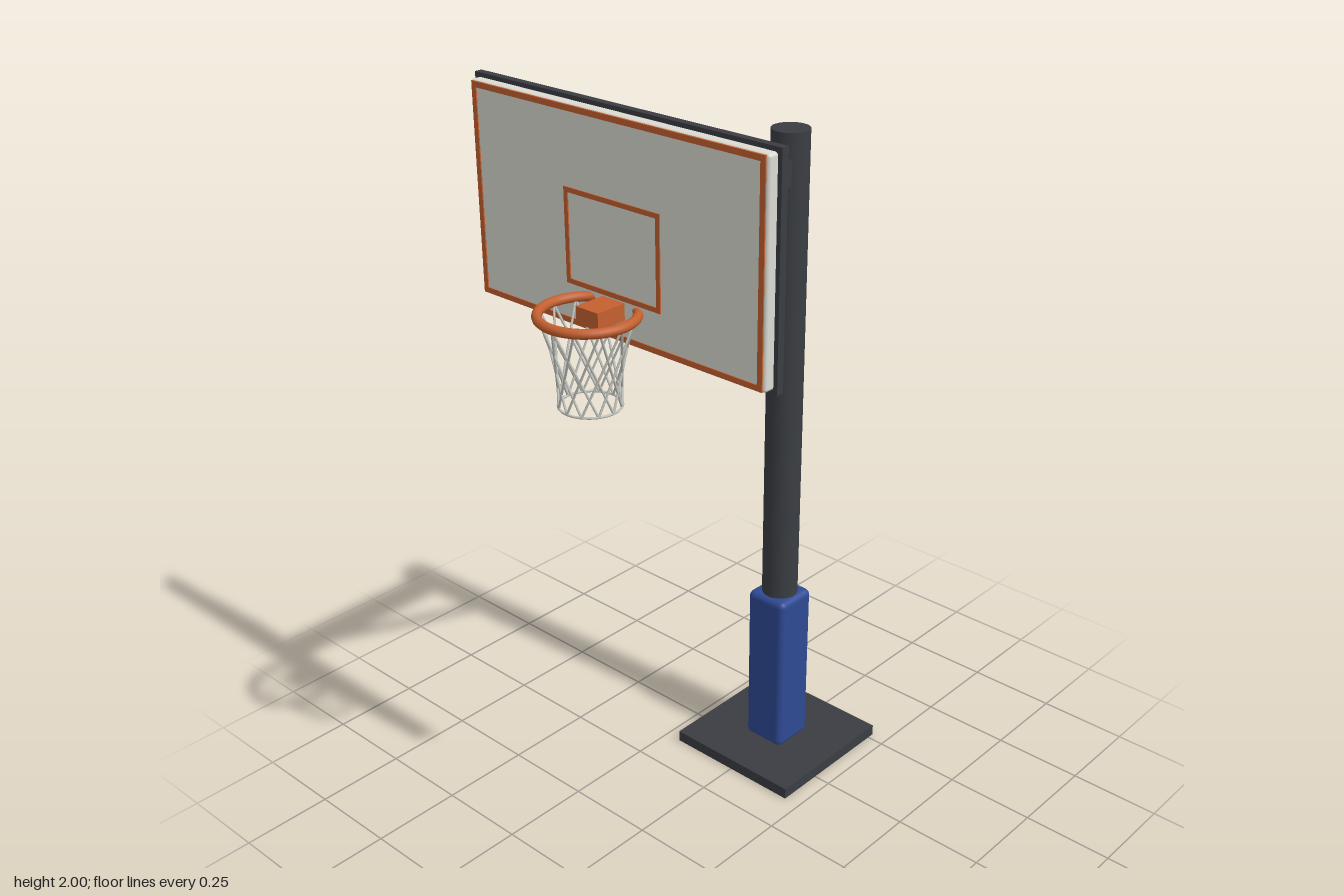
import * as THREE from 'three';
import { RoundedBoxGeometry } from 'three/addons/geometries/RoundedBoxGeometry.js';

const material = (color) => new THREE.MeshStandardMaterial({ color });
const steel = material(0x3a3d42);
const blue = material(0x2f4a94);
const orange = material(0xc4602f);
const white = material(0xdcdcd4);
const cord = material(0xc4c6c0);

export function createModel() {
  const model = new THREE.Group();
  model.name = 'basketballHoop';

  function add(name, geometry, mat, x, y, z, parent = model) {
    const mesh = new THREE.Mesh(geometry, mat);
    mesh.name = name;
    mesh.position.set(x, y, z);
    parent.add(mesh);
    return mesh;
  }

  // Straight round bar between two points
  function rod(name, a, b, radius, sides, mat, parent = model) {
    const dir = b.clone().sub(a);
    const mid = a.clone().add(b).multiplyScalar(0.5);
    const mesh = add(name, new THREE.CylinderGeometry(radius, radius, dir.length(), sides), mat, mid.x, mid.y, mid.z, parent);
    mesh.quaternion.setFromUnitVectors(new THREE.Vector3(0, 1, 0), dir.normalize());
    return mesh;
  }

  // Flat rectangular outline with a hole
  function outline(name, halfWidth, bottom, top, line, z, depth) {
    const rect = (path, w, b, t) => path.moveTo(-w, b).lineTo(w, b).lineTo(w, t).lineTo(-w, t).closePath();
    const shape = new THREE.Shape();
    rect(shape, halfWidth, bottom, top);
    const hole = new THREE.Path();
    rect(hole, halfWidth - line, bottom + line, top - line);
    shape.holes.push(hole);
    add(name, new THREE.ExtrudeGeometry(shape, { depth, bevelEnabled: false }), orange, 0, 0, z);
  }

  // Base, post and safety pad
  const postZ = -0.318;
  add('basePlate', new THREE.BoxGeometry(0.404, 0.032, 0.404), steel, 0, 0.016, postZ);
  add('post', new THREE.CylinderGeometry(0.05, 0.05, 1.8, 32), steel, 0, 0.93, postZ);
  add('pad', new RoundedBoxGeometry(0.128, 0.485, 0.128, 4, 0.018), blue, 0, 0.268, postZ);

  // Arm and diagonal brace
  add('arm', new THREE.BoxGeometry(0.07, 0.07, 0.58), steel, 0, 1.73, -0.025);
  rod('brace', new THREE.Vector3(0, 1.715, 0.19), new THREE.Vector3(0, 1.435, -0.295), 0.018, 16, steel);

  // Backboard with its markings
  add('backFrame', new THREE.BoxGeometry(0.93, 0.545, 0.02), steel, 0, 1.7275, 0.269);
  add('board', new RoundedBoxGeometry(0.908, 0.524, 0.034, 3, 0.008), white, 0, 1.7275, 0.288);
  outline('borderLine', 0.446, 1.467, 1.987, 0.014, 0.302, 0.006);
  outline('targetLine', 0.149, 1.567, 1.798, 0.012, 0.302, 0.006);

  // Rim and bracket
  const hoopZ = 0.388;
  const rimY = 1.55;
  add('rimBracket', new THREE.BoxGeometry(0.07, 0.042, 0.088), orange, 0, 1.541, 0.346);
  const rim = add('rim', new THREE.TorusGeometry(0.114, 0.012, 12, 48), orange, 0, rimY, hoopZ);
  rim.rotation.x = Math.PI / 2;

  // Net: two opposing sets of slanted cords closed by a small ring
  const net = new THREE.Group();
  net.name = 'net';
  net.position.set(0, 0, hoopZ);
  model.add(net);
  const count = 12;
  const bottomY = 1.328;
  const at = (angle, r, y) => new THREE.Vector3(Math.cos(angle) * r, y, Math.sin(angle) * r);
  for (let i = 0; i < count; i++) {
    const angle = (i / count) * Math.PI * 2;
    for (const turn of [-1, 1]) {
      rod('netCord', at(angle, 0.11, rimY - 0.004), at(angle + turn * Math.PI / 3, 0.075, bottomY), 0.003, 6, cord, net);
    }
  }
  const netRing = add('netRing', new THREE.TorusGeometry(0.075, 0.003, 6, 24), cord, 0, bottomY, 0, net);
  netRing.rotation.x = Math.PI / 2;

  return model;
}
